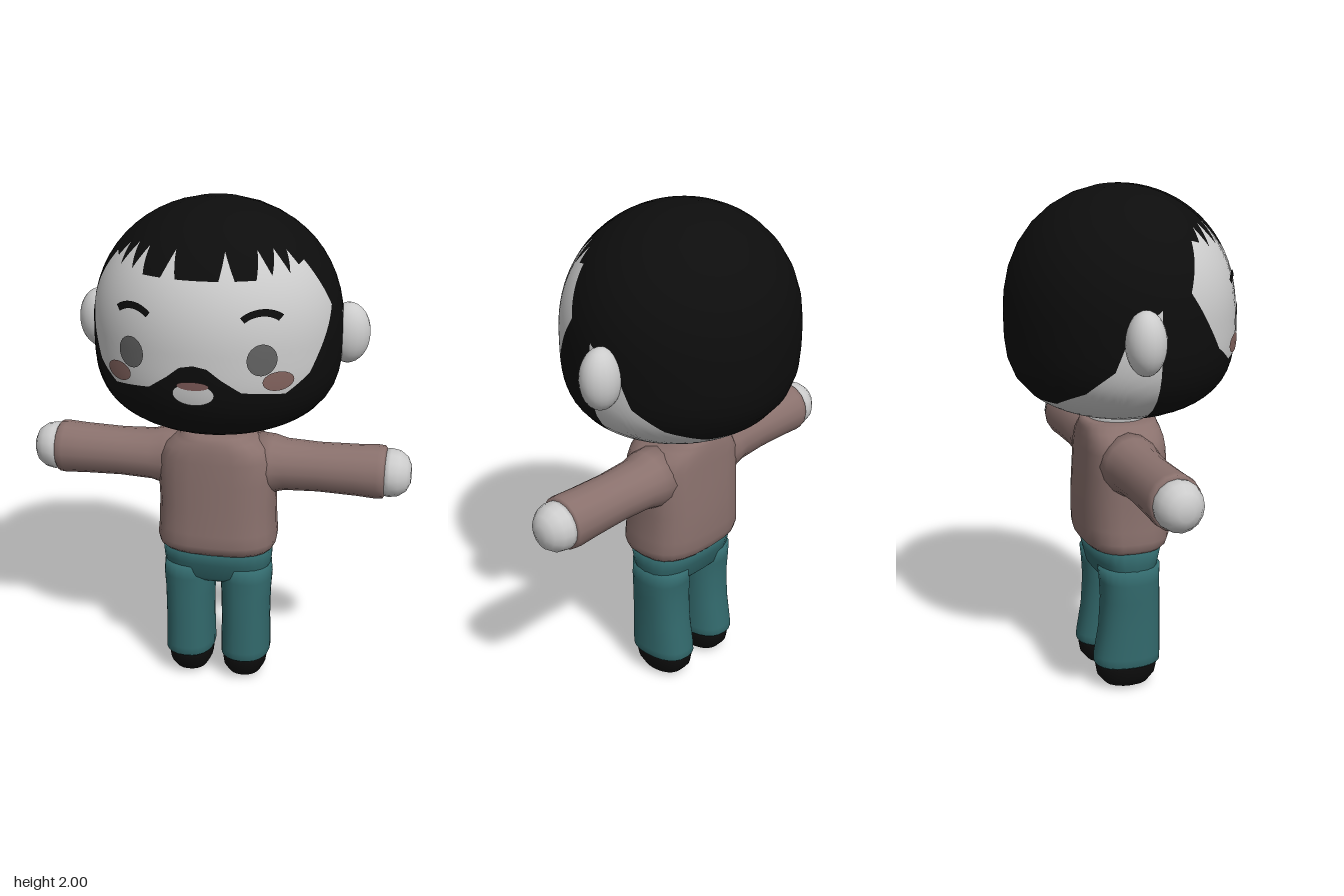
import * as THREE from 'three';

const mat = (name, color, side = THREE.FrontSide) => {
  const m = new THREE.MeshStandardMaterial({ color, side });
  m.name = name;
  return m;
};

// Head surface: (x/HX)^2 + (z/HZ)^2 + |u|^q = 1, with u the height above or below its middle
const HX = 0.475, HZ = 0.442, MID = 1.52, TOP = 2, CHIN = 1.115;
const half = (y) => (y >= MID ? { h: TOP - MID, q: 2.2 } : { h: MID - CHIN, q: 3.5 });
const heightOf = (y) => Math.min(1, Math.abs(y - MID) / half(y).h);
const ringRadius = (y) => Math.sqrt(Math.max(0, 1 - heightOf(y) ** half(y).q));
function headNormal(x, y, z) {
  const { h, q } = half(y);
  const ny = (Math.sign(y - MID) * q * heightOf(y) ** (q - 1)) / h;
  return new THREE.Vector3((2 * x) / HX ** 2, ny, (2 * z) / HZ ** 2).normalize();
}

// Linear lookup in a table of [degrees from the front, height]
function lookup(table, a) {
  a = Math.abs(a);
  for (let i = 1; i < table.length; i++) {
    const [a0, y0] = table[i - 1], [a1, y1] = table[i];
    if (a <= a1) return y0 + ((y1 - y0) * (a - a0)) / (a1 - a0);
  }
  return table[table.length - 1][1];
}
const toLat = (y) => Math.asin(Math.sign(y - MID) * heightOf(y));
const fromLat = (l) => MID + Math.sin(l) * (l >= 0 ? TOP - MID : MID - CHIN);

// Band of the head between two border lines, from angle a0 to a1 in degrees
function headBand(a0, a1, upper, lower, rows = 12) {
  const pos = [], nor = [], idx = [];
  for (let a = a0; a <= a1; a++) {
    const t = THREE.MathUtils.degToRad(a);
    const l0 = toLat(upper(a)), l1 = toLat(lower(a));
    for (let j = 0; j <= rows; j++) {
      const y = fromLat(l0 + ((l1 - l0) * j) / rows), r = ringRadius(y);
      const x = HX * r * Math.sin(t), z = HZ * r * Math.cos(t);
      pos.push(x, y, z);
      nor.push(...headNormal(x, y, z).toArray());
      if (a < a1 && j < rows) {
        const k = (a - a0) * (rows + 1) + j, n = k + rows + 1;
        idx.push(k, k + 1, n + 1, k, n + 1, n);
      }
    }
  }
  const g = new THREE.BufferGeometry();
  g.setAttribute('position', new THREE.Float32BufferAttribute(pos, 3));
  g.setAttribute('normal', new THREE.Float32BufferAttribute(nor, 3));
  g.setIndex(idx);
  return g;
}

// Lay a flat outline onto the front of the head as a thin plate
function facePlate(g, cx, cy, lift) {
  g.translate(cx, cy, 0);
  const p = g.attributes.position, n = g.attributes.normal;
  for (let i = 0; i < p.count; i++) {
    const x = p.getX(i), y = p.getY(i);
    const z = HZ * Math.sqrt(Math.max(0, ringRadius(y) ** 2 - (x / HX) ** 2));
    const v = headNormal(x, y, z);
    n.setXYZ(i, v.x, v.y, v.z);
    p.setXYZ(i, x + v.x * lift, y + v.y * lift, z + v.z * lift);
  }
  return g;
}
const oval = (rx, ry) => new THREE.CircleGeometry(1, 24).scale(rx, ry, 1);

// Closed smooth body from rows [y, half width, front depth, back depth]
function loft(rows, power = 2, sides = 24) {
  const pos = [], idx = [];
  const bend = (v) => Math.sign(v) * Math.abs(v) ** (2 / power);
  rows.forEach(([y, rx, front, back], j) => {
    for (let i = 0; i < sides; i++) {
      const t = (i / sides) * Math.PI * 2, c = bend(Math.cos(t));
      pos.push(rx * bend(Math.sin(t)), y, c * (c > 0 ? front : back));
      if (j < rows.length - 1) {
        const k = j * sides + i, n = j * sides + ((i + 1) % sides);
        idx.push(k, n, n + sides, k, n + sides, k + sides);
      }
    }
  });
  const last = (rows.length - 1) * sides, c = rows.length * sides;
  pos.push(0, rows[0][0], 0, 0, rows[rows.length - 1][0], 0);
  for (let i = 0; i < sides; i++) {
    const n = (i + 1) % sides;
    idx.push(c, n, i, c + 1, last + i, last + n);
  }
  const g = new THREE.BufferGeometry();
  g.setAttribute('position', new THREE.Float32BufferAttribute(pos, 3));
  g.setIndex(idx);
  g.computeVertexNormals();
  return g;
}

export function createModel() {
  const model = new THREE.Group();
  const skin = mat('skin', 0xcccccc), black = mat('black hair and shoes', 0x0d0d0d);
  const shirt = mat('shirt', 0x8a716d), pants = mat('trousers', 0x32696c);
  const eye = mat('eye grey', 0x626262), blush = mat('blush', 0x84645f), lip = mat('lip', 0x7d5a58);
  const add = (name, g, m) => {
    const mesh = new THREE.Mesh(g, m);
    mesh.name = name;
    model.add(mesh);
    return mesh;
  };

  // Head: ragged fringe, open face, beard and bare nape share one surface
  const hairline = [[0, 1.78], [11, 1.78], [15, 1.87], [19, 1.78], [30, 1.78], [35, 1.87], [39, 1.79],
    [46, 1.87], [50, 1.79], [55, 1.86], [58, 1.81], [64, 1.82], [74, 1.65], [90, 1.6],
    [106, 1.5], [112, 1.38], [127, 1.29], [150, 1.22], [180, 1.21]];
  const beardLine = [[0, 1.49], [6, 1.48], [12, 1.44], [21, 1.39], [42, 1.37], [55, 1.43], [63, 1.52],
    [74, 1.65], [90, 1.6]];
  const hairAt = (a) => lookup(hairline, a), beardAt = (a) => lookup(beardLine, a);
  const backAt = (a) => hairAt(a > 180 ? 360 - a : a);
  add('hair', headBand(-180, 180, () => TOP, hairAt), black);
  add('face', headBand(-74, 74, hairAt, beardAt), skin);
  add('beard', headBand(-90, 90, beardAt, () => CHIN), black);
  add('nape', headBand(90, 270, backAt, () => CHIN), skin);

  // Mouth
  add('chinPatch', facePlate(oval(0.075, 0.042), 0, 1.383, 0.005), skin);
  add('mouth', facePlate(oval(0.058, 0.016), 0, 1.417, 0.008), lip);

  // Neck
  add('neck', loft([[1.06, 0.11, 0.1, 0.12], [1.14, 0.11, 0.1, 0.12]]), skin);

  // Torso with hem and collar
  add('shirtBody', loft([
    [0.595, 0.222, 0.148, 0.15], [0.61, 0.235, 0.165, 0.165], [0.64, 0.241, 0.176, 0.174],
    [0.69, 0.236, 0.173, 0.178], [0.8, 0.232, 0.168, 0.177], [0.9, 0.236, 0.165, 0.17],
    [0.99, 0.232, 0.161, 0.165], [1.035, 0.205, 0.157, 0.162], [1.065, 0.165, 0.15, 0.158],
    [1.075, 0.148, 0.145, 0.155], [1.09, 0.14, 0.14, 0.152], [1.1, 0.125, 0.125, 0.138],
  ], 2.7), shirt);

  // Hips
  add('hips', loft([
    [0.45, 0.19, 0.09, 0.09], [0.475, 0.212, 0.115, 0.115], [0.54, 0.22, 0.132, 0.132],
    [0.61, 0.224, 0.15, 0.15],
  ], 2.7), pants);

  for (const [label, s] of [['left', 1], ['right', -1]]) {
    // Face details
    add(label + 'Eye', facePlate(oval(0.05, 0.058), s * 0.235, 1.51, 0.005), eye);
    add(label + 'Cheek', facePlate(oval(0.05, 0.036), s * 0.287, 1.427, 0.008), blush);
    const arc = new THREE.RingGeometry(0.086, 0.11, 16, 1, Math.PI * 0.28, Math.PI * 0.44);
    add(label + 'Brow', facePlate(arc, s * 0.23, 1.578, 0.005), black);

    // Ear
    const ear = add(label + 'Ear', new THREE.SphereGeometry(1, 20, 14), skin);
    ear.scale.set(0.085, 0.118, 0.075);
    ear.position.set(s * 0.488, 1.49, -0.068);
    ear.rotation.y = s * 0.25;

    // Arm and hand, lofted upright and laid out sideways
    const sleeve = add(label + 'Sleeve', loft([
      [0.12, 0.125, 0.125, 0.125], [0.22, 0.117, 0.115, 0.115], [0.27, 0.103, 0.105, 0.105],
      [0.4, 0.098, 0.098, 0.098], [0.55, 0.102, 0.1, 0.1], [0.63, 0.107, 0.102, 0.102],
      [0.655, 0.105, 0.1, 0.1], [0.665, 0.09, 0.088, 0.088],
    ], 2, 16), shirt);
    const hand = add(label + 'Hand', loft([
      [0.64, 0.09, 0.088, 0.088], [0.68, 0.096, 0.094, 0.094], [0.715, 0.09, 0.085, 0.085],
      [0.745, 0.068, 0.062, 0.062], [0.76, 0.035, 0.032, 0.032],
    ], 2, 16), skin);
    for (const part of [sleeve, hand]) {
      part.rotation.z = (-s * Math.PI) / 2;
      part.position.set(0, 0.949, -0.016);
    }

    // Leg and foot
    add(label + 'Leg', loft([
      [0.1, 0.09, 0.115, 0.135], [0.108, 0.1, 0.126, 0.144], [0.14, 0.1, 0.127, 0.143],
      [0.26, 0.098, 0.126, 0.122], [0.38, 0.1, 0.125, 0.114], [0.46, 0.106, 0.122, 0.118],
      [0.52, 0.1, 0.125, 0.125],
    ], 2.3), pants).position.x = s * 0.117;
    add(label + 'Foot', loft([
      [0, 0.042, 0.045, 0.065], [0.015, 0.068, 0.08, 0.1], [0.05, 0.087, 0.108, 0.13],
      [0.09, 0.092, 0.117, 0.137], [0.115, 0.09, 0.115, 0.135],
    ], 2.2).translate(s * 0.114, 0, 0), black);
  }
  return model;
}
